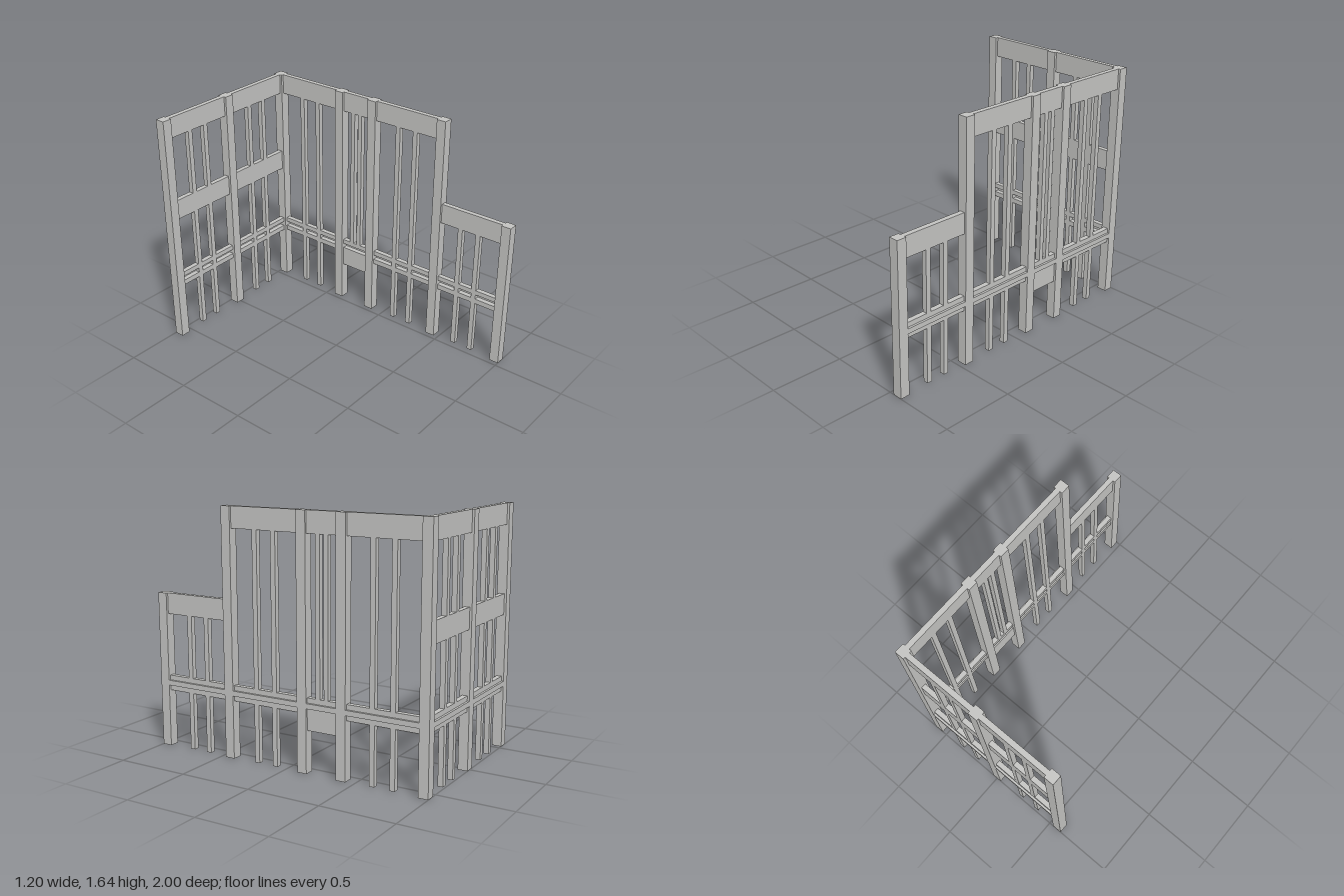
import * as THREE from 'three';

const P = 0.067;            // post thickness
const H = 1.645, LOW = 1.05; // tall and low frame heights
const BEAM = 0.14;          // beam depth

export function createModel() {
  const model = new THREE.Group();
  const paint = new THREE.MeshStandardMaterial({ color: 0xc2c2c0 });
  paint.name = 'light grey';

  // A wall runs along u; d is the distance inward from its outer face.
  function makeWall(name, place) {
    const group = new THREE.Group();
    group.name = name;
    model.add(group);
    return (part, u0, u1, y0, y1, d0, d1) => {
      const [x0, x1, z0, z1] = place(u0, u1, d0, d1);
      const mesh = new THREE.Mesh(new THREE.BoxGeometry(x1 - x0, y1 - y0, z1 - z0), paint);
      mesh.position.set((x0 + x1) / 2, (y0 + y1) / 2, (z0 + z1) / 2);
      mesh.name = part;
      group.add(mesh);
    };
  }
  const back = makeWall('backWall', (u0, u1, d0, d1) => [u0, u1, -1 + d0, -1 + d1]);
  const side = makeWall('sideWall', (u0, u1, d0, d1) => [0.6 - d1, 0.6 - d0, u0, u1]);

  const IN = 0.015, OUT = 0.05; // depth range of beams, rails and studs

  // Double rail with a strip closing the slot on the outside
  function rails(wall, u0, u1) {
    wall('lowerRail', u0, u1, 0.387, 0.423, IN, OUT);
    wall('upperRail', u0, u1, 0.457, 0.49, IN, OUT);
    wall('outerStrip', u0, u1, 0.423, 0.457, 0, IN);
  }
  function bay(wall, u0, u1, top, studs) {
    wall('topBeam', u0, u1, top - BEAM, top, IN, OUT);
    rails(wall, u0, u1);
    for (const u of studs) wall('stud', u - 0.0175, u + 0.0175, 0, top - BEAM, IN, OUT);
  }

  // Back wall: two equal bays with a middle beam
  for (const u of [-0.5665, 0, 0.5665]) back('post', u - P / 2, u + P / 2, 0, H, 0, P);
  for (const [u0, u1, studs] of [[-0.533, -0.0335, [-0.361, -0.222]], [0.0335, 0.533, [0.209, 0.349]]]) {
    bay(back, u0, u1, H, studs);
    back('middleBeam', u0, u1, LOW - BEAM, LOW, IN, OUT);
  }

  // Side wall posts; the foremost is low
  for (const [u, h] of [[0.9665, LOW], [0.4335, H], [-0.125, H], [-0.406, H]]) {
    side('post', u - P / 2, u + P / 2, 0, h, 0, P);
  }

  // Side wall bays
  bay(side, 0.467, 0.933, LOW, [0.756, 0.619]);
  bay(side, -0.0915, 0.4, H, [0.225, 0.087]);
  bay(side, -0.1585 - 0.214, -0.1585, H, []);
  bay(side, -0.933, -0.4395, H, [-0.615, -0.755]);

  // Narrow bay: thin bars above the rail, panel and slot block below
  for (const u of [-0.235, -0.295]) side('thinBar', u - 0.016, u + 0.016, 0.49, H - BEAM, IN, OUT);
  side('lowerPanel', -0.3725, -0.1585, 0.28, 0.387, IN, OUT);

  return model;
}
